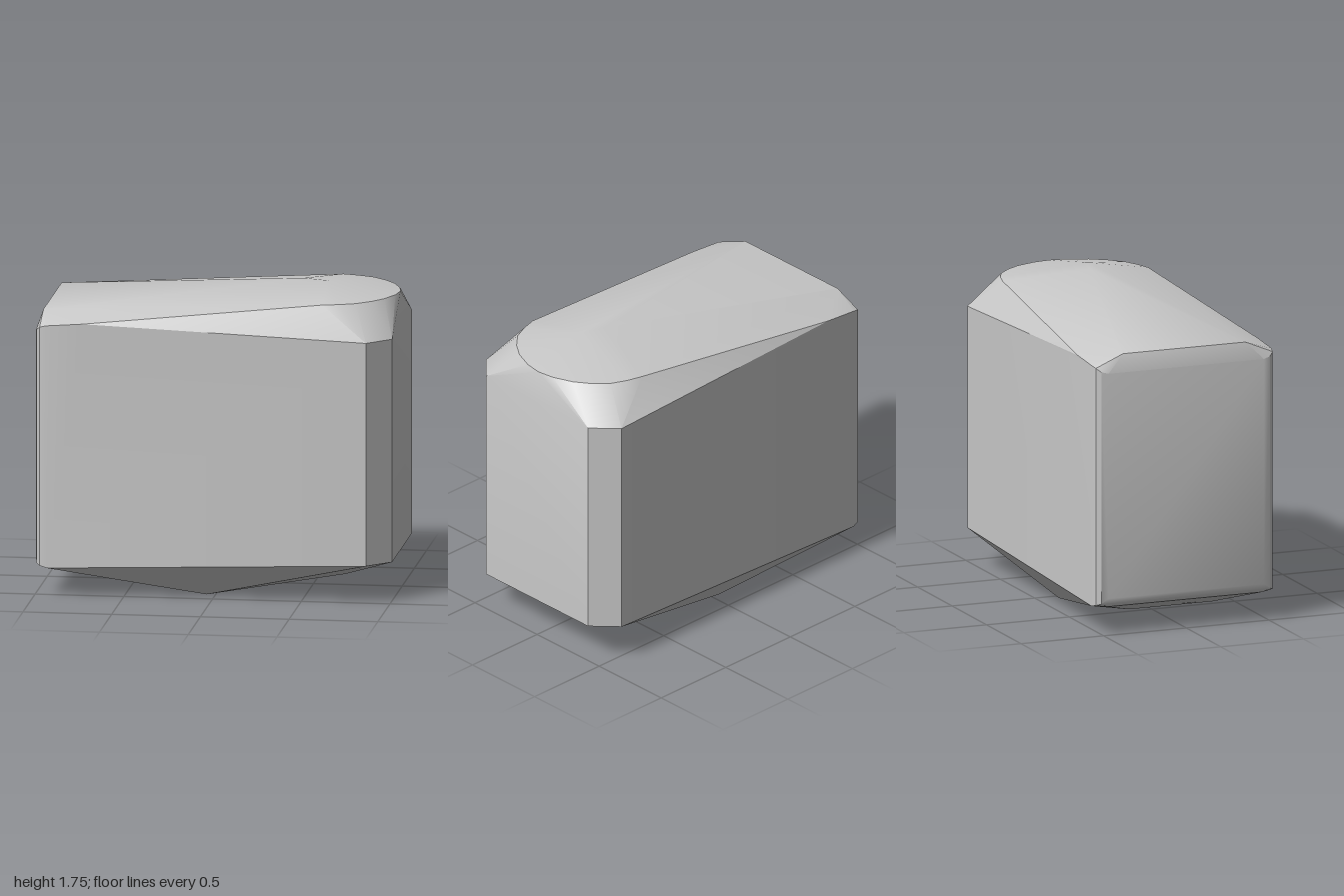
import * as THREE from 'three';
import { ConvexGeometry } from 'three/addons/geometries/ConvexGeometry.js';
import { toCreasedNormals } from 'three/addons/utils/BufferGeometryUtils.js';

export function createModel() {
  const grey = new THREE.MeshStandardMaterial({ color: 0xc8c8c8 });
  grey.name = 'stone grey';

  const points = [];
  const add = (x, y, z) => points.push(new THREE.Vector3(x, y, z));
  const mirrored = (x, y, z) => { add(x, y, z); add(x, y, -z); };

  // Chamfered right end
  for (const y of [0.22, 1.49]) {
    mirrored(1, y, 0.41);
    mirrored(0.87, y, 0.545);
  }

  // Rounded left corners: x, z, bottom y, top y
  for (const [x, z, low, high] of [
    [-1, 0.47, 0.21, 1.5], [-0.99, 0.51, 0.18, 1.51],
    [-0.97, 0.535, 0.17, 1.53], [-0.93, 0.545, 0.16, 1.54],
  ]) {
    mirrored(x, low, z);
    mirrored(x, high, z);
  }
  mirrored(-0.98, 0.16, 0.47);
  mirrored(-0.94, 1.55, 0.515);
  mirrored(-0.97, 1.6, 0.37);
  mirrored(-0.73, 1.555, 0.545);

  // Curved rim around the right end of the top
  for (const [x, z] of [[0.61, 0.44], [0.7, 0.415], [0.79, 0.375],
    [0.87, 0.3], [0.93, 0.215], [0.975, 0.1]]) mirrored(x, 1.68, z);
  add(0.99, 1.68, 0);

  // Low peak of the top
  add(0.45, 1.745, 0.02);
  add(0.59, 1.745, 0.07);

  // Faceted keel underneath
  mirrored(-0.05, 0, 0.375);
  mirrored(-0.77, 0.08, 0.25);
  add(0.68, 0.055, -0.03);

  const block = new THREE.Mesh(toCreasedNormals(new ConvexGeometry(points), 0.42), grey);
  block.name = 'stoneBlock';

  const group = new THREE.Group();
  group.name = 'facetedStone';
  group.add(block);
  return group;
}
